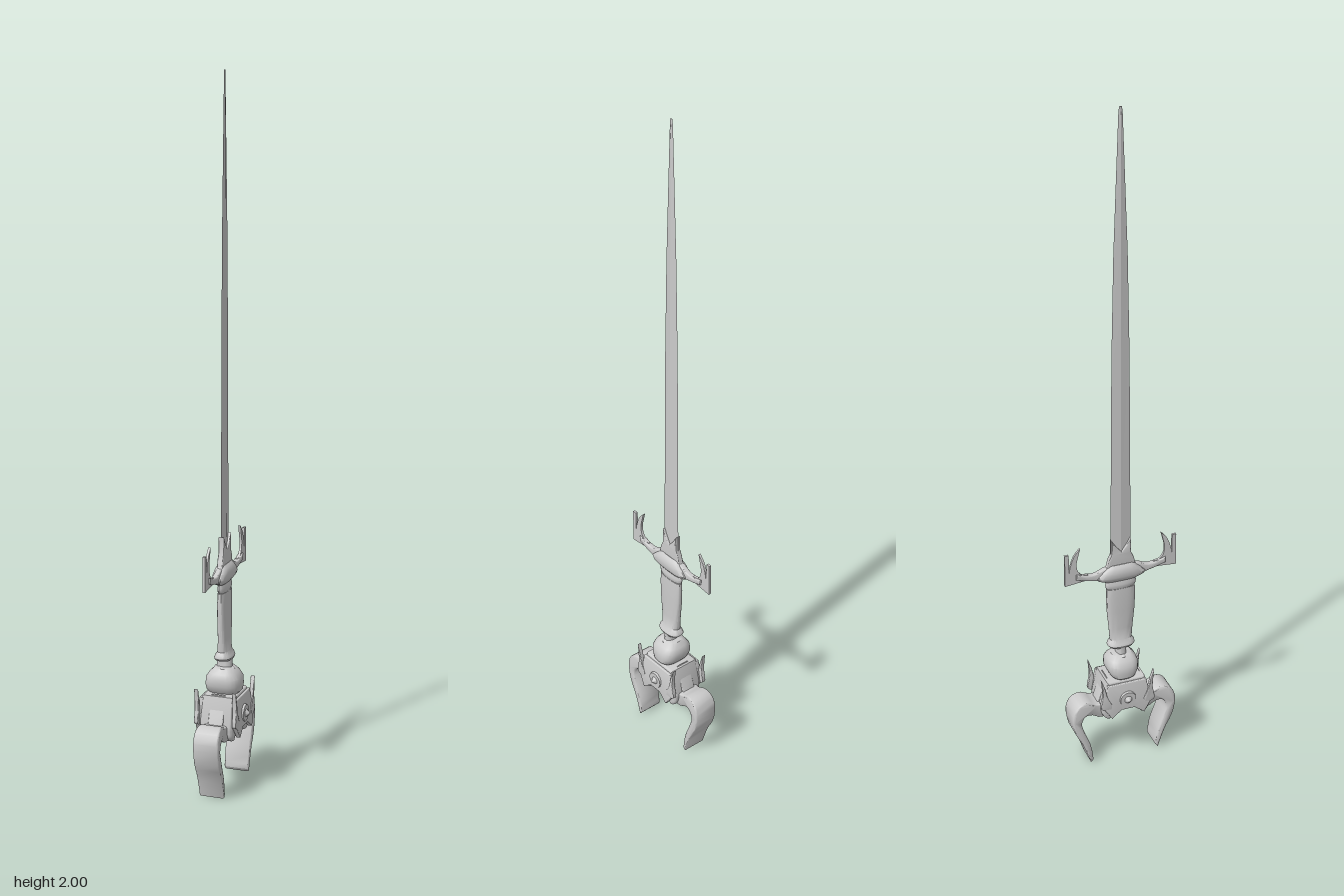
import * as THREE from 'three';
import { toCreasedNormals } from 'three/addons/utils/BufferGeometryUtils.js';

const material = new THREE.MeshStandardMaterial({ color: 0xcccccc, side: THREE.DoubleSide });

function part(parent, name, geometry, crease = 0.6) {
  const mesh = new THREE.Mesh(toCreasedNormals(geometry, crease), material);
  mesh.name = name;
  parent.add(mesh);
  return mesh;
}

// Stack of cross-sections [y, half x, half z]; power < 1 squares the outline
function loft(rows, sides = 20, power = 1) {
  const pos = [], index = [];
  const bend = (v) => Math.sign(v) * Math.pow(Math.abs(v), power);
  for (const [y, hx, hz] of rows) {
    for (let i = 0; i < sides; i++) {
      const a = (i / sides) * Math.PI * 2;
      pos.push(hx * bend(Math.sin(a)), y, hz * bend(Math.cos(a)));
    }
  }
  for (let r = 0; r < rows.length - 1; r++) {
    for (let i = 0; i < sides; i++) {
      const a = r * sides + i, b = r * sides + (i + 1) % sides;
      index.push(a, b, b + sides, a, b + sides, a + sides);
    }
  }
  const top = (rows.length - 1) * sides;
  for (let i = 1; i < sides - 1; i++) {
    index.push(0, i + 1, i, top, top + i, top + i + 1);
  }
  const g = new THREE.BufferGeometry();
  g.setAttribute('position', new THREE.Float32BufferAttribute(pos, 3));
  g.setIndex(index);
  return g;
}

// Side outline in (z, y), extruded along x and centred on it
function slab(shape, width, bevel = 0) {
  const g = new THREE.ExtrudeGeometry(shape, {
    depth: width - 2 * bevel, curveSegments: 8, bevelEnabled: bevel > 0,
    bevelThickness: bevel, bevelSize: bevel, bevelOffset: -bevel, bevelSegments: 3,
  });
  g.translate(0, 0, -width / 2 + bevel);
  return g.rotateY(-Math.PI / 2);
}

const outline = (points) => new THREE.Shape(points.map(([z, y]) => new THREE.Vector2(z, y)));

// Closed outline made of a smooth outer edge and a smooth inner edge
function curvedOutline(outer, inner) {
  const smooth = (p) => new THREE.SplineCurve(p.map(([z, y]) => new THREE.Vector2(z, y))).getPoints(18);
  return new THREE.Shape([...smooth(outer), ...smooth(inner)]);
}

export function createModel() {
  const model = new THREE.Group();
  model.name = 'sword';

  // Blade: long flat diamond section with a raised spine
  part(model, 'blade', loft([
    [0.64, 0.005, 0.031], [0.75, 0.0045, 0.03], [1.3, 0.004, 0.026],
    [1.6, 0.004, 0.02], [1.82, 0.003, 0.012], [1.98, 0.002, 0.006], [2, 0.001, 0.004],
  ], 4), 0.05);

  // Blade collar with two points
  part(model, 'bladeCollar', slab(outline([
    [-0.045, 0.635], [0.045, 0.635], [0.038, 0.67], [0.029, 0.69], [0.029, 0.735],
    [0.016, 0.715], [0, 0.695], [-0.016, 0.715], [-0.029, 0.735], [-0.029, 0.69], [-0.038, 0.67],
  ]), 0.017, 0.003));

  // Guard centre
  part(model, 'guardBlock', loft([
    [0.602, 0.012, 0.05], [0.612, 0.019, 0.072], [0.62, 0.022, 0.075],
    [0.635, 0.022, 0.06], [0.648, 0.018, 0.045], [0.655, 0.01, 0.04],
  ], 16, 0.7));
  part(model, 'guardRing', loft([
    [0.568, 0.009, 0.035], [0.58, 0.013, 0.045], [0.59, 0.014, 0.047], [0.604, 0.009, 0.043],
  ]));

  // Grip, neck and knob
  part(model, 'grip', loft([
    [0.378, 0.024, 0.036], [0.384, 0.026, 0.041], [0.392, 0.023, 0.04], [0.402, 0.016, 0.033],
    [0.44, 0.014, 0.036], [0.5, 0.014, 0.042], [0.545, 0.0135, 0.044], [0.575, 0.012, 0.043],
  ], 24, 0.8));
  part(model, 'neck', loft([[0.34, 0.024, 0.018], [0.36, 0.022, 0.015], [0.382, 0.024, 0.016]]));
  part(model, 'knob', loft([
    [0.278, 0.04, 0.03], [0.288, 0.05, 0.038], [0.305, 0.052, 0.046], [0.325, 0.05, 0.047],
    [0.34, 0.04, 0.042], [0.353, 0.026, 0.03], [0.356, 0.012, 0.014],
  ], 24, 0.7));

  // Pommel core with an arched underside
  const core = new THREE.Shape();
  core.moveTo(-0.058, 0.282);
  core.lineTo(-0.076, 0.2);
  core.quadraticCurveTo(-0.075, 0.155, -0.05, 0.153);
  core.quadraticCurveTo(-0.025, 0.185, 0, 0.175);
  core.quadraticCurveTo(0.025, 0.185, 0.05, 0.153);
  core.quadraticCurveTo(0.075, 0.155, 0.076, 0.2);
  core.lineTo(0.058, 0.282);
  part(model, 'pommelCore', slab(core, 0.096, 0.008));

  for (const side of [-1, 1]) {
    const flank = new THREE.Group();
    flank.name = side > 0 ? 'leftFlank' : 'rightFlank';
    model.add(flank);

    // Side plate leaning outward at the bottom
    const plate = part(flank, 'sidePlate', slab(outline([
      [-0.06, 0.275], [-0.072, 0.2], [-0.05, 0.165], [-0.02, 0.188],
      [0.02, 0.188], [0.05, 0.165], [0.072, 0.2], [0.06, 0.275],
    ]), 0.014, 0.003));
    plate.position.set(side * 0.053, 0, 0);
    plate.geometry.translate(0, -0.22, 0).rotateZ(side * 0.1).translate(0, 0.22, 0);

    // Central spike on a round boss
    const boss = part(flank, 'boss', new THREE.CylinderGeometry(0.024, 0.026, 0.008, 16));
    boss.rotation.z = -side * Math.PI / 2;
    boss.position.set(side * 0.06, 0.222, 0);
    const spike = part(flank, 'spike', new THREE.ConeGeometry(0.018, 0.02, 12));
    spike.rotation.z = -side * Math.PI / 2;
    spike.position.set(side * 0.067, 0.222, 0);

    // Small rivet beside the knob
    const rivet = part(flank, 'rivet', new THREE.SphereGeometry(0.009, 12, 8));
    rivet.position.set(side * 0.022, 0.347, 0);

    // Upright horns at the corners
    for (const end of [-1, 1]) {
      const horn = curvedOutline(
        [[end * 0.05, 0.195], [end * 0.082, 0.205], [end * 0.077, 0.25], [end * 0.081, 0.305]],
        [[end * 0.07, 0.275], [end * 0.062, 0.24], [end * 0.05, 0.215]]);
      part(flank, 'horn', slab(horn, 0.012, 0.002)).position.x = side * 0.056;
    }
  }

  for (const end of [-1, 1]) {
    const m = (points) => points.map(([z, y]) => [end * z, y]);
    const wing = new THREE.Group();
    wing.name = end > 0 ? 'frontEnd' : 'backEnd';
    model.add(wing);

    // Guard arm rising to the hook
    part(wing, 'guardArm', slab(curvedOutline(
      m([[0.02, 0.65], [0.05, 0.648], [0.08, 0.637], [0.11, 0.64], [0.135, 0.648]]),
      m([[0.135, 0.63], [0.11, 0.622], [0.08, 0.615], [0.05, 0.608], [0.02, 0.612]])), 0.016, 0.004));

    // Flat hook: straight outer bar and curved inner prong
    part(wing, 'guardBar', slab(outline(m([
      [0.095, 0.622], [0.168, 0.615], [0.168, 0.715], [0.156, 0.715], [0.155, 0.645], [0.1, 0.64],
    ])), 0.007));
    part(wing, 'guardProng', slab(curvedOutline(
      m([[0.157, 0.64], [0.152, 0.675], [0.14, 0.708], [0.122, 0.73]]),
      m([[0.128, 0.705], [0.133, 0.68], [0.128, 0.655], [0.11, 0.635]])), 0.007));

    // Broad claw curling down and inward, narrower near its root
    const claw = slab(curvedOutline(
      m([[0.045, 0.215], [0.08, 0.203], [0.115, 0.217], [0.146, 0.205], [0.16, 0.17],
        [0.152, 0.115], [0.128, 0.065], [0.106, 0.002]]),
      m([[0.098, 0.012], [0.105, 0.06], [0.123, 0.11], [0.133, 0.145], [0.122, 0.168],
        [0.1, 0.168], [0.075, 0.157], [0.045, 0.165]])), 0.074, 0.005);
    const p = claw.attributes.position;
    for (let i = 0; i < p.count; i++) {
      const d = (Math.abs(p.getZ(i)) - 0.098) / 0.03;
      const root = p.getY(i) > 0.14 ? Math.exp(-d * d) : 0;
      p.setX(i, p.getX(i) * (1 - 0.16 * root));
    }
    part(wing, 'claw', claw, 0.8);
    claw.computeBoundingBox();

    // Short crest on the pommel face
    part(wing, 'crest', slab(outline(m([
      [0.05, 0.285], [0.07, 0.235], [0.08, 0.205], [0.05, 0.2],
    ])), 0.044, 0.004));
  }

  // Settle the claw tips on the ground
  const box = new THREE.Box3().setFromObject(model);
  model.children.forEach((child) => { child.position.y -= box.min.y; });
  return model;
}
